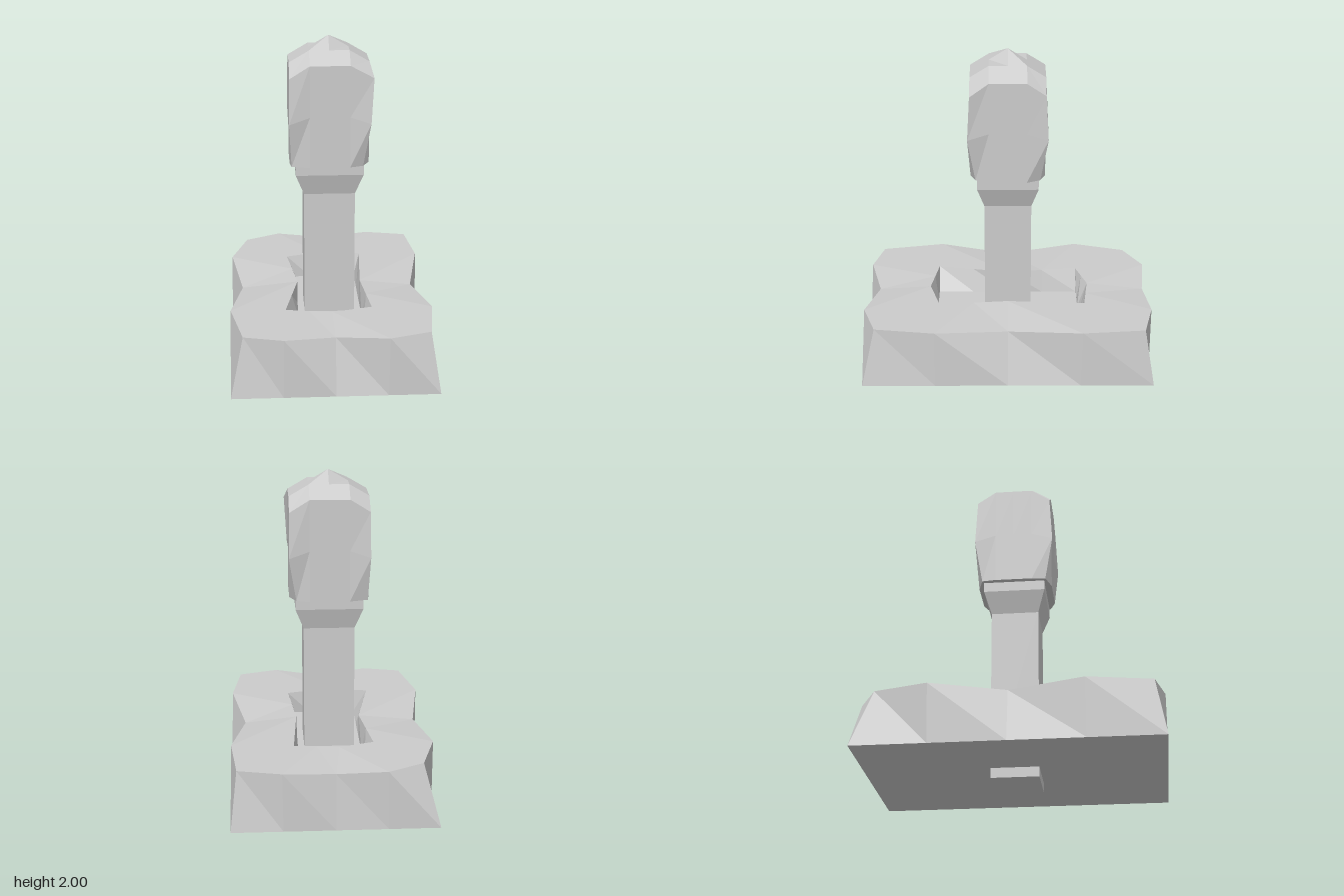
import * as THREE from 'three';

const material = new THREE.MeshStandardMaterial({ color: 0xcccccc, flatShading: true });

function addPart(group, name, geometry) {
  const geo = geometry.index ? geometry.toNonIndexed() : geometry;
  geo.computeVertexNormals();
  const mesh = new THREE.Mesh(geo, material);
  mesh.name = name;
  group.add(mesh);
}

// Skin consecutive rings of [x, y, z] points (clockwise seen from above)
function loft(rings) {
  const out = [];
  for (let r = 0; r < rings.length - 1; r++) {
    const lo = rings[r], hi = rings[r + 1], n = lo.length;
    for (let i = 0; i < n; i++) {
      const j = (i + 1) % n;
      out.push(...lo[i], ...hi[i], ...hi[j], ...lo[i], ...hi[j], ...lo[j]);
    }
  }
  const geo = new THREE.BufferGeometry();
  geo.setAttribute('position', new THREE.Float32BufferAttribute(out, 3));
  return geo;
}

// Ring with midpoints inserted between its points
const subdivide = (ring) => ring.flatMap((p, i) => {
  const q = ring[(i + 1) % ring.length];
  return [p, p.map((v, k) => (v + q[k]) / 2)];
});

const rect = (x, z, y) => [[-x, y, -z], [x, y, -z], [x, y, z], [-x, y, z]];
const point = (y, n) => Array.from({ length: n }, () => [0, y, 0]);

// Rough stone block with a sunken pocket
function baseGeometry() {
  const footprint = subdivide(subdivide(rect(0.61, 0.885, 0.06)));
  const topEdge = [
    [-0.515, 0.42, -0.77], [-0.3, 0.42, -0.885], [0, 0.4, -0.855], [0.31, 0.42, -0.885],
    [0.57, 0.42, -0.825], [0.605, 0.42, -0.45], [0.52, 0.385, 0], [0.605, 0.42, 0.44],
    [0.555, 0.42, 0.805], [0.31, 0.42, 0.885], [0, 0.4, 0.81], [-0.3, 0.42, 0.885],
    [-0.535, 0.42, 0.825], [-0.61, 0.42, 0.44], [-0.54, 0.385, 0], [-0.61, 0.42, -0.45],
  ];
  const rim = subdivide([
    [-0.25, 0.42, -0.44], [-0.04, 0.42, -0.505], [0.23, 0.42, -0.475], [0.2, 0.42, 0],
    [0.24, 0.42, 0.425], [0, 0.42, 0.49], [-0.28, 0.42, 0.445], [-0.195, 0.42, 0],
  ]);
  const floor = subdivide(subdivide(rect(0.195, 0.445, 0.275)));
  return loft([point(0.06, 16), footprint, topEdge, rim, floor, point(0.275, 16)]);
}

// Domed head: a 4 x 2 x 4 box grid reshaped by rule
function headGeometry() {
  const geo = new THREE.BoxGeometry(4, 2, 4, 4, 2, 4);
  const p = geo.attributes.position;
  for (let n = 0; n < p.count; n++) {
    const i = Math.round(p.getX(n)), j = Math.round(p.getZ(n)), level = Math.round(p.getY(n));
    const corner = Math.abs(i) === 2 && Math.abs(j) === 2;
    let x = i * 0.12, z = j * 0.1125, y;
    if (level === 1) {
      // dome falls off ring by ring, corners drop further
      y = corner ? 1.785 : 2 - 0.07 * Math.max(Math.abs(i), Math.abs(j));
      if (corner && i > 0 && j > 0) x = 0.26;
    } else if (level === 0) {
      // slight bulge at mid height
      y = corner ? 1.51 : 1.55;
      if (corner) { x = i * 0.122; z = j * 0.12; }
    } else {
      // lower corners tuck in
      y = 1.24;
      if (corner) { x = i > 0 ? 0.2 : -0.23; z = j * 0.097; }
    }
    p.setXYZ(n, x, y, z);
  }
  return geo;
}

export function createModel() {
  const group = new THREE.Group();
  group.name = 'postOnBase';

  addPart(group, 'base', baseGeometry());

  // Square post running through the base
  addPart(group, 'post', new THREE.BoxGeometry(0.31, 1.06, 0.285).translate(0, 0.53, 0));

  // Flared collar under the head
  addPart(group, 'collar', loft([
    point(1.05, 4), rect(0.155, 0.1425, 1.05), rect(0.205, 0.185, 1.18),
    rect(0.205, 0.185, 1.25), point(1.25, 4),
  ]));

  addPart(group, 'head', headGeometry());
  return group;
}
